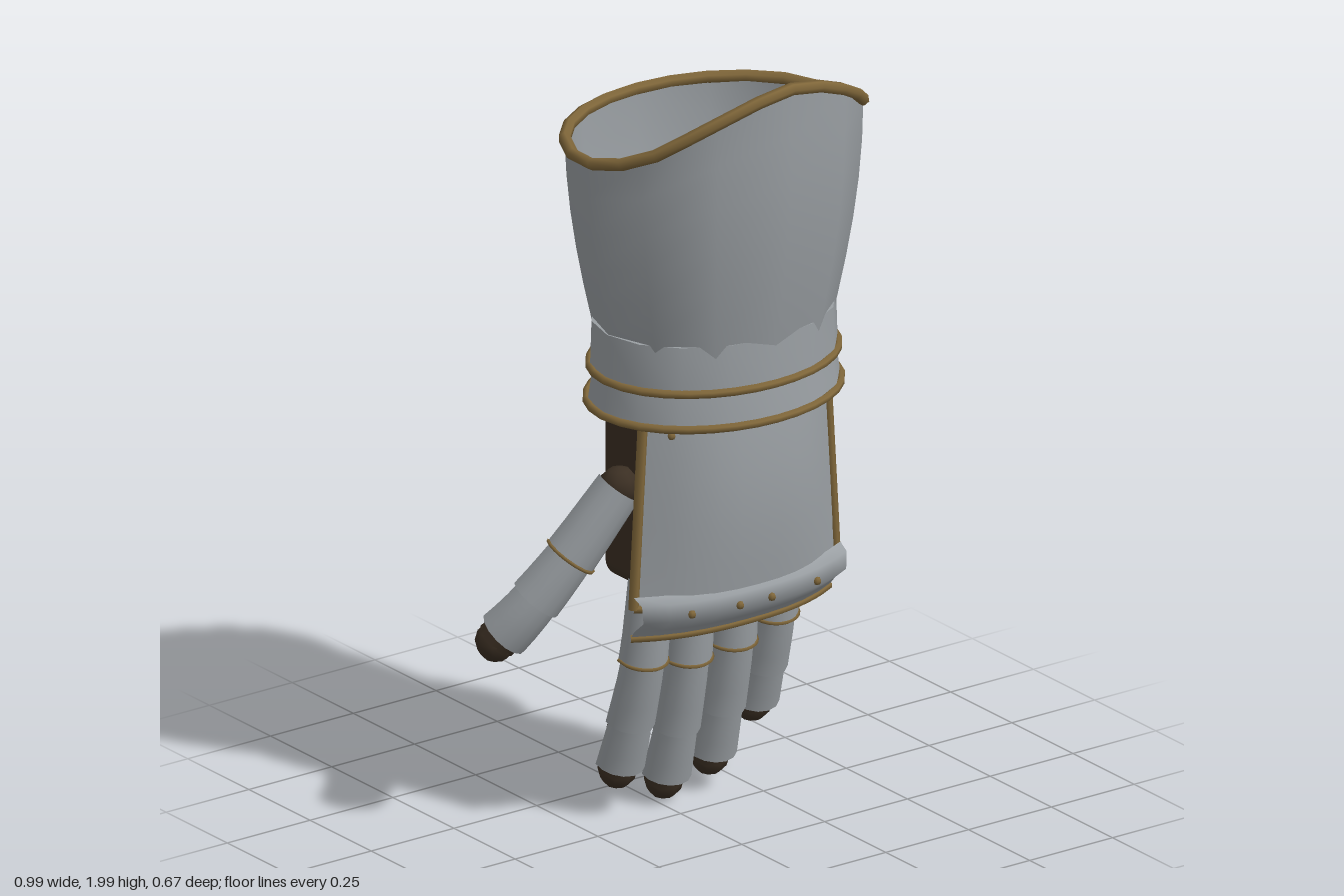
import * as THREE from 'three';
import { RoundedBoxGeometry } from 'three/addons/geometries/RoundedBoxGeometry.js';

const V = (x, y, z) => new THREE.Vector3(x, y, z);
const CX = 0.1; // centre of the arm in x

function material(name, color, double = false) {
  const m = new THREE.MeshStandardMaterial({ color });
  m.name = name;
  if (double) m.side = THREE.DoubleSide;
  return m;
}

// Smooth surface from f(u, v), u and v in 0..1; closed joins the last column to the first
function grid(f, nu, nv, closed = false) {
  const pos = [], idx = [], cols = closed ? nu : nu + 1;
  for (let j = 0; j <= nv; j++) for (let i = 0; i < cols; i++) pos.push(...f(i / nu, j / nv).toArray());
  for (let j = 0; j < nv; j++) for (let i = 0; i < nu; i++) {
    const a = j * cols + i, b = j * cols + (i + 1) % cols, c = a + cols, d = b + cols;
    idx.push(a, b, d, a, d, c);
  }
  const g = new THREE.BufferGeometry();
  g.setAttribute('position', new THREE.Float32BufferAttribute(pos, 3));
  g.setIndex(idx);
  g.computeVertexNormals();
  return g;
}

// Tube through a row of points
function tube(points, r, closed = false, sides = 6) {
  const curve = new THREE.CatmullRomCurve3(points, closed, 'centripetal');
  return new THREE.TubeGeometry(curve, points.length * 2, r, sides, closed);
}

const row = (n, f) => Array.from({ length: n }, (_, i) => f(i));

export function createModel() {
  const steel = material('steel', 0x9a9fa3, true);
  const brass = material('brass', 0x80673a);
  const leather = material('leather', 0x3b2f23);
  const model = new THREE.Group();
  model.name = 'gauntlet';
  const add = (name, geo, mat, parent = model) => {
    const m = new THREE.Mesh(geo, mat);
    m.name = name;
    parent.add(m);
    return m;
  };

  // Flared cuff, its rim rising to a point at the front
  const oval = (u, r, y, k = 0.81) => {
    const a = u * Math.PI * 2;
    return V(CX + r * Math.sin(a), y, r * k * Math.cos(a));
  };
  const rimHeight = [1.985, 1.925, 1.825, 1.78, 1.78, 1.78, 1.78, 1.78, 1.78, 1.78, 1.825, 1.925];
  const cuffPoint = (u, v) => {
    const y = 1.12 + (rimHeight[Math.round(u * 12) % 12] - 1.12) * v;
    const r = 0.27 + 0.115 * Math.sin(Math.PI / 2 * Math.min(1, (y - 1.12) / 0.7));
    return oval(u, r, y, 0.81 + 0.02 * v);
  };
  add('cuff', grid(cuffPoint, 12, 7, true), steel);
  add('cuffRim', tube(row(12, i => cuffPoint(i / 12, 1)), 0.016, true), brass);

  // Two wrist bands with brass lower edges and a lip on top
  const bands = [['upperBand', 1.315, 1.195, 0.322, 0.326], ['lowerBand', 1.2, 1.105, 0.318, 0.333]];
  for (const [name, top, bottom, r0, r1] of bands) {
    const g = new THREE.Group();
    g.name = name;
    model.add(g);
    add('band', grid((u, v) => oval(u, r0 + (r1 - r0) * v, top + (bottom - top) * v, 0.79), 16, 1, true), steel, g);
    add('lip', grid((u, v) => oval(u, r0 - 0.03 * v, top, 0.79), 16, 1, true), steel, g);
    add('bandTrim', tube(row(16, i => oval(i / 16, r1, bottom, 0.79)), 0.011, true), brass, g);
  }

  // Leather palm
  add('palm', new RoundedBoxGeometry(0.51, 0.46, 0.175, 3, 0.04), leather).position.set(0.095, 0.87, -0.03);

  // Bowed plate over the back of the hand
  const bow = s => 1 - Math.pow(Math.abs(s), 2.5);
  const platePoint = (u, v) => {
    const s = u * 2 - 1, w = 0.275 + 0.03 * v;
    return V(CX + s * w, 1.13 - 0.51 * v, 0.085 + bow(s) * (0.095 + 0.02 * Math.sin(v * Math.PI)));
  };
  add('handPlate', grid(platePoint, 10, 6), steel);
  for (const u of [0, 1])
    add('handPlateTrim', tube(row(5, i => platePoint(u, i / 4)), 0.013), brass);
  add('handPlateLowerTrim', tube(row(11, i => platePoint(i / 10, 1)), 0.01), brass);

  // Curled plate over the knuckles
  const curl = [[0.655, 0.165], [0.64, 0.195], [0.595, 0.197], [0.56, 0.155], [0.535, 0.135]];
  const knucklePoint = (u, v) => {
    const s = u * 2 - 1, [y, z] = curl[Math.round(v * 4)];
    return V(CX + s * (0.312 - 0.012 * v), y, z - 0.07 * (1 - bow(s)));
  };
  add('knucklePlate', grid(knucklePoint, 10, 4), steel);
  add('knuckleTrim', tube(row(11, i => knucklePoint(i / 10, 1)), 0.01), brass);

  // Brass rivets
  const rivet = new THREE.SphereGeometry(0.011, 6, 4);
  for (const x of [-0.095, 0.035, 0.13, 0.28]) add('rivet', rivet, brass).position.set(x, 0.61, 0.197 - 0.07 * (1 - bow((x - CX) / 0.31)));
  for (const u of [0.1, 0.9]) add('rivet', rivet, brass).position.copy(platePoint(u, 0.12));

  // Leather finger with three overlapping half-round lames along its outer side
  function finger(name, points, out, r, breaks) {
    const g = new THREE.Group();
    g.name = name;
    model.add(g);
    const curve = new THREE.CatmullRomCurve3(points);
    const tip = points[points.length - 1];
    add('glove', new THREE.TubeGeometry(curve, 10, r, 8), leather, g);
    add('fingertip', new THREE.SphereGeometry(r, 8, 6), leather, g).position.copy(tip);
    add('fingerBase', new THREE.SphereGeometry(r, 8, 6), leather, g).position.copy(points[0]);
    const around = (t, a, rad) => {
      const dir = curve.getTangentAt(t);
      const o = out.clone().addScaledVector(dir, -out.dot(dir)).normalize();
      const side = dir.clone().cross(o);
      return curve.getPointAt(t).addScaledVector(o, Math.cos(a) * rad).addScaledVector(side, Math.sin(a) * rad);
    };
    for (let k = 0; k < 3; k++) {
      const t0 = Math.max(0, breaks[k] - 0.02), t1 = breaks[k + 1];
      const lame = (u, v) => around(t0 + (t1 - t0) * v, (u - 0.5) * 3.5, r + 0.007 + 0.008 * v);
      add('lame', grid(lame, 8, 3), steel, g);
      add('lameEnd', grid((u, v) => around(t1, (u - 0.5) * 3.5, r + 0.015 - 0.013 * v), 8, 1), steel, g);
      if (k === 0) add('lameTrim', tube(row(7, i => lame(i / 6, 1)), 0.005, false, 4), brass, g);
    }
  }

  // Four fingers: x at the knuckle, x at the tip, height of the tip
  const fingers = [
    ['indexFinger', -0.1, -0.11, 0.07],
    ['middleFinger', 0.03, 0.03, 0.01],
    ['ringFinger', 0.162, 0.168, 0.04],
    ['littleFinger', 0.285, 0.297, 0.15],
  ];
  for (const [name, x0, x1, low] of fingers) {
    const r = 0.049, end = low + r, at = t => 0.66 + (end - 0.66) * t;
    const points = [[0, 0.005], [0.38, -0.015], [0.7, -0.06], [1, -0.11]]
      .map(([t, z]) => V(x0 + (x1 - x0) * t, at(t), z));
    finger(name, points, V(0, 0, 1), r, [0, 0.4, 0.73, 0.96]);
  }

  // Thumb, splayed out and back
  finger('thumb', [V(-0.185, 0.91, 0.0), V(-0.3, 0.73, -0.055), V(-0.39, 0.595, -0.11), V(-0.44, 0.515, -0.16)],
    V(-0.45, 0, 1), 0.052, [0, 0.42, 0.7, 0.94]);

  return model;
}
